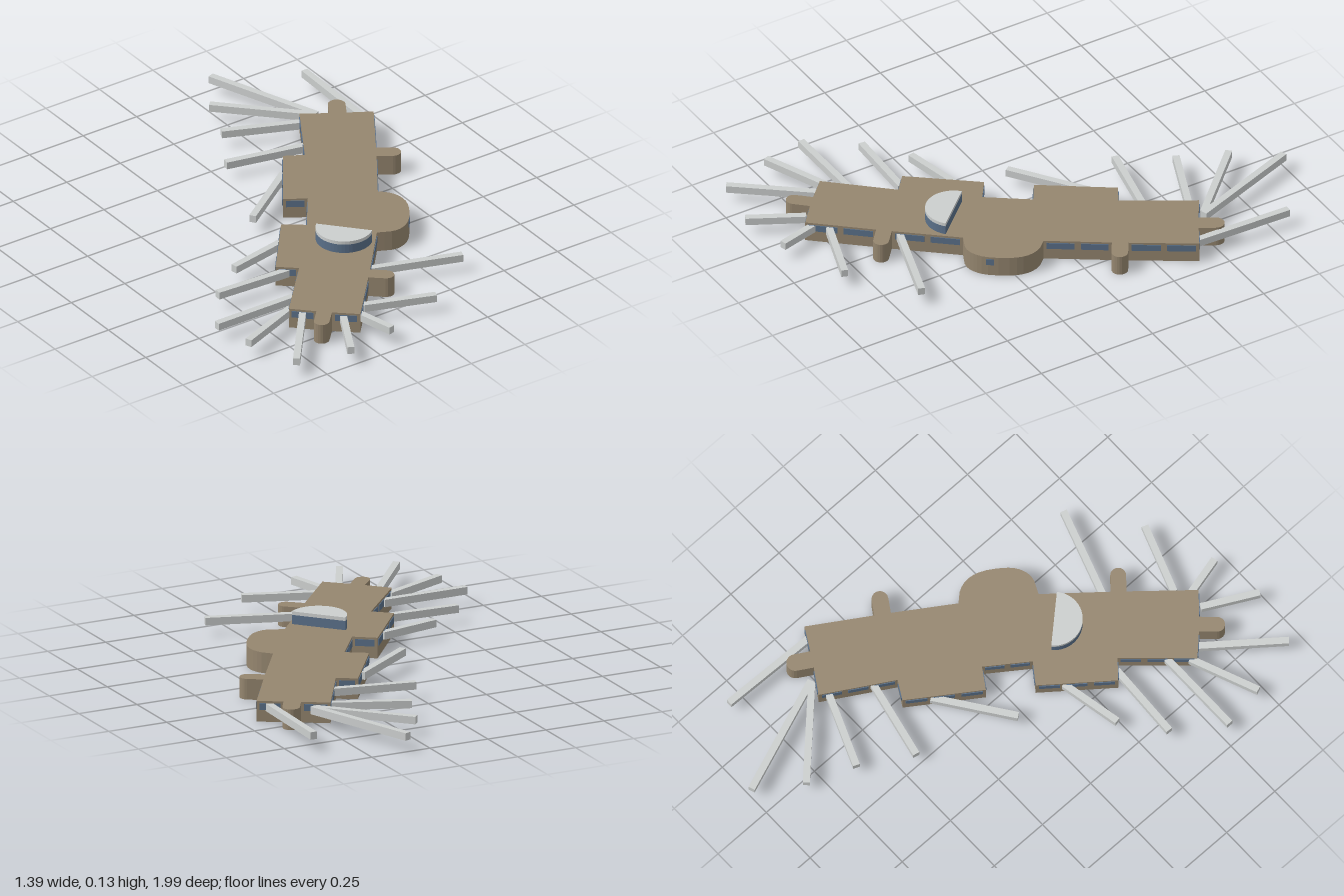
import * as THREE from 'three';

const HEIGHT = 0.083;

// Rounded bay projecting outwards between two base points [x, z]
function bay(a, b, reach) {
  const dx = b[0] - a[0], dz = b[1] - a[1], r = Math.hypot(dx, dz) / 2;
  const ux = dx / (2 * r), uz = dz / (2 * r), ox = uz, oz = -ux;
  const straight = reach - r;
  const cx = (a[0] + b[0]) / 2 + ox * straight, cz = (a[1] + b[1]) / 2 + oz * straight;
  const pts = [a];
  for (let i = 0; i <= 10; i++) {
    const t = Math.PI * i / 10, c = -Math.cos(t) * r, s = Math.sin(t) * r;
    pts.push([cx + ux * c + ox * s, cz + uz * c + oz * s]);
  }
  return [...pts, b];
}

// Smooth large lobe through a few points
function lobe(points) {
  return new THREE.CatmullRomCurve3(points.map(([x, z]) => new THREE.Vector3(x, 0, z)))
    .getPoints(18).map(p => [p.x, p.z]);
}

// Vertical walls along a closed plan outline
function wallGeometry(outline, y0, y1) {
  const pos = [];
  outline.forEach(([ax, az], i) => {
    const [bx, bz] = outline[(i + 1) % outline.length];
    pos.push(ax, y0, az, ax, y1, az, bx, y1, bz, ax, y0, az, bx, y1, bz, bx, y0, bz);
  });
  const g = new THREE.BufferGeometry();
  g.setAttribute('position', new THREE.Float32BufferAttribute(pos, 3));
  g.computeVertexNormals();
  return g;
}

// Flat cap filling a plan outline
function capGeometry(outline, y) {
  const shape = new THREE.Shape(outline.map(([x, z]) => new THREE.Vector2(x, -z)));
  return new THREE.ShapeGeometry(shape).rotateX(-Math.PI / 2).translate(0, y, 0);
}

// Box lying along a plan segment
function beam(name, a, b, width, height, y, material) {
  const dx = b[0] - a[0], dz = b[1] - a[1];
  const mesh = new THREE.Mesh(new THREE.BoxGeometry(Math.hypot(dx, dz), height, width), material);
  mesh.position.set((a[0] + b[0]) / 2, y, (a[1] + b[1]) / 2);
  mesh.rotation.y = -Math.atan2(dz, dx);
  mesh.name = name;
  return mesh;
}

export function createModel() {
  const model = new THREE.Group();
  model.name = 'terminal';
  const mat = (name, color) => {
    const m = new THREE.MeshStandardMaterial({ color, side: THREE.DoubleSide });
    m.name = name;
    return m;
  };
  const stone = mat('tan stone', 0x95866f);
  const glass = mat('blue glass', 0x5a7089);
  const pale = mat('pale grey', 0xcbcecd);
  const add = (name, geometry, material, parent = model) => {
    const mesh = new THREE.Mesh(geometry, material);
    mesh.name = name;
    parent.add(mesh);
  };

  // Terminal plan, clockwise seen from above
  const outline = [
    [0.447, -0.548],
    ...bay([0.542, -0.487], [0.6, -0.452], 0.1),
    [0.69, -0.4],
    ...bay([0.543, -0.172], [0.508, -0.118], 0.095),
    ...lobe([[0.362, 0.1], [0.4, 0.145], [0.412, 0.2], [0.395, 0.26],
      [0.335, 0.345], [0.295, 0.372], [0.25, 0.38], [0.183, 0.352]]),
    ...bay([0.004, 0.563], [-0.036, 0.609], 0.097),
    [-0.218, 0.817],
    ...bay([-0.3, 0.745], [-0.344, 0.704], 0.1),
    [-0.42, 0.627], [-0.214, 0.4], [-0.283, 0.341], [-0.085, 0.093],
    [-0.005, 0.151], [0.11, -0.008], [0.03, -0.06], [0.214, -0.325], [0.288, -0.283],
  ];
  add('walls', wallGeometry(outline, 0, HEIGHT), stone);
  add('roof', capGeometry(outline, HEIGHT), stone);

  // Strip windows on the straight walls
  const windows = new THREE.Group();
  windows.name = 'windows';
  model.add(windows);
  outline.forEach((a, i) => {
    const b = outline[(i + 1) % outline.length];
    const length = Math.hypot(b[0] - a[0], b[1] - a[1]);
    if (length < 0.075) return;
    const count = Math.max(1, Math.round(length / 0.115)), gap = 0.012 / length;
    const at = t => [a[0] + (b[0] - a[0]) * t, a[1] + (b[1] - a[1]) * t];
    for (let k = 0; k < count; k++) {
      windows.add(beam('window', at(k / count + gap), at((k + 1) / count - gap),
        0.006, 0.027, 0.061, glass));
    }
  });
  windows.add(beam('lobeWindow', [0.355, 0.318], [0.337, 0.342], 0.008, 0.027, 0.061, glass));

  // Half-round control tower
  const tower = new THREE.Group();
  tower.name = 'tower';
  model.add(tower);
  const start = Math.atan2(0.164, 0.148), half = [];
  for (let i = 0; i <= 24; i++) {
    const t = start + Math.PI * i / 24;
    half.push([0.055 + 0.11 * Math.cos(t), 0.316 + 0.11 * Math.sin(t)]);
  }
  half.reverse();
  add('towerBase', wallGeometry(half, 0, HEIGHT), stone, tower);
  add('towerGlass', wallGeometry(half, HEIGHT, 0.12), glass, tower);
  add('towerRim', wallGeometry(half, 0.12, 0.134), pale, tower);
  const towerTop = capGeometry(half.slice().reverse(), 0.134);
  add('towerRoof', towerTop, pale, tower);

  // Boarding bridges: outer end x, z then inner end x, z
  const bridges = [
    [0.341, -0.993, 0.513, -0.528], [0.217, -0.822, 0.505, -0.532], [0.14, -0.632, 0.44, -0.508],
    [0.02, -0.431, 0.345, -0.36], [-0.128, -0.036, 0.152, -0.235], [-0.4, 0.23, -0.15, 0.18],
    [-0.562, 0.352, -0.245, 0.368], [-0.697, 0.542, -0.34, 0.542], [-0.67, 0.716, -0.4, 0.607],
    [-0.6, 0.938, -0.37, 0.65], [-0.38, 0.987, -0.27, 0.78], [-0.163, 0.95, -0.203, 0.79],
    [0.117, 0.844, -0.155, 0.747], [0.372, 0.654, 0.015, 0.535], [0.659, -0.82, 0.647, -0.42],
  ];
  for (const [x0, z0, x1, z1] of bridges) {
    model.add(beam('boardingBridge', [x0, z0], [x1, z1], 0.027, 0.03, 0.059, pale));
  }
  return model;
}
